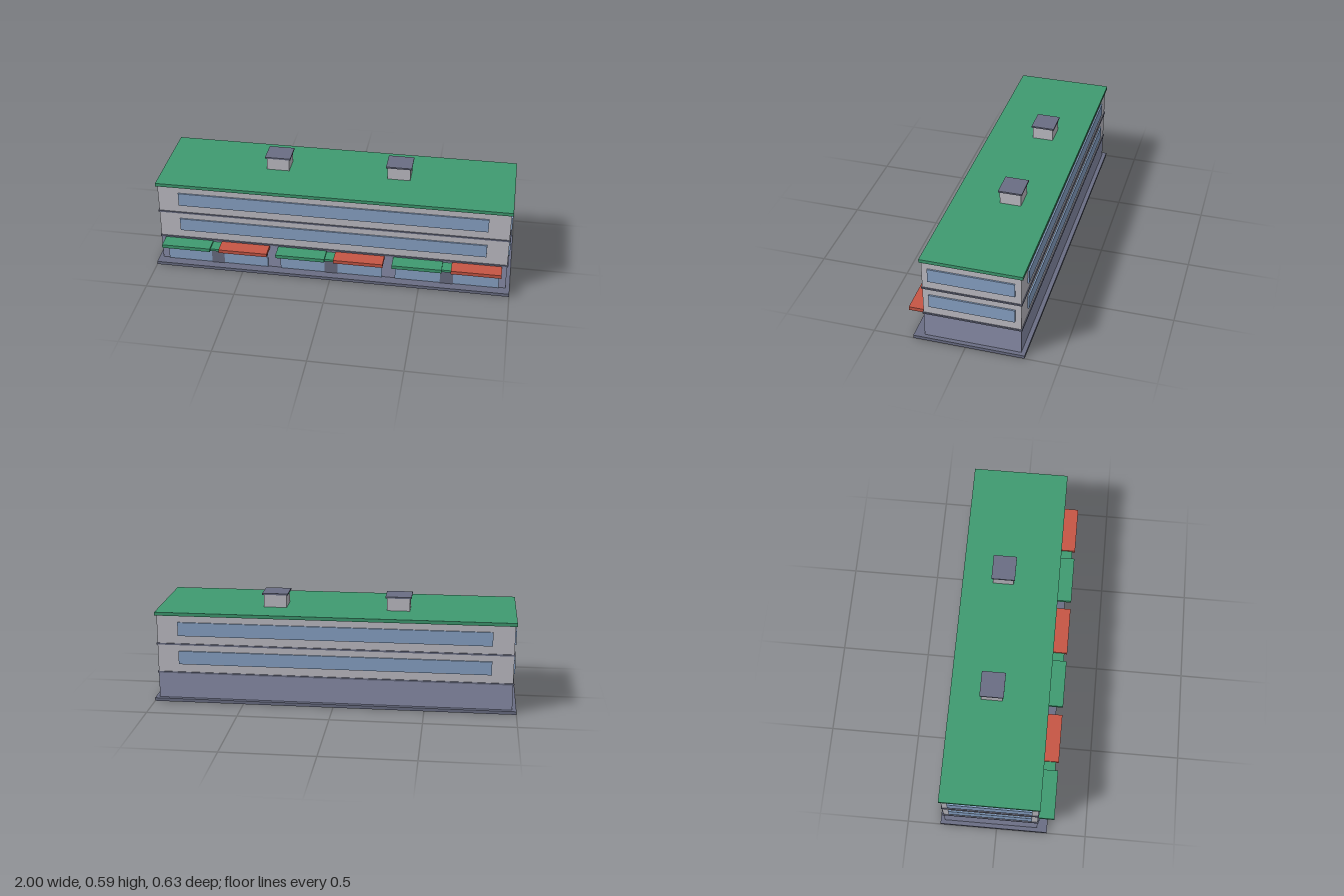
import * as THREE from 'three';

const mat = (name, color) => {
  const m = new THREE.MeshStandardMaterial({ color });
  m.name = name;
  return m;
};

export function createModel() {
  const wall = mat('pale grey wall', 0xc2c1c9);
  const shop = mat('slate ground floor', 0x8c90ac);
  const trim = mat('dark grey trim', 0x6a6e84);
  const glass = mat('blue glass', 0x8ba6ca);
  const green = mat('green', 0x3f9b71);
  const red = mat('red', 0xc75645);

  const model = new THREE.Group();
  model.name = 'building';

  // Box given by its minimum and maximum along each axis
  const box = (name, material, [x0, x1], [y0, y1], [z0, z1]) => {
    const mesh = new THREE.Mesh(new THREE.BoxGeometry(x1 - x0, y1 - y0, z1 - z0), material);
    mesh.position.set((x0 + x1) / 2, (y0 + y1) / 2, (z0 + z1) / 2);
    mesh.name = name;
    model.add(mesh);
  };
  const span = (centre, width) => [centre - width / 2, centre + width / 2];

  const front = 0.227, back = -0.293, side = 0.977;

  // Main body
  box('base', trim, [-1, 1], [0, 0.018], [-0.316, 0.283]);
  box('groundFloor', shop, [-side, side], [0.018, 0.165], [back, front]);
  box('upperFloors', wall, [-side, side], [0.165, 0.493], [back, front]);
  box('roof', green, [-0.986, 0.986], [0.493, 0.512], [-0.303, 0.236]);
  for (const y of [0.161, 0.325])
    box('floorBand', trim, [-0.982, 0.982], [y, y + 0.009], [back - 0.005, front + 0.005]);

  // Ribbon windows on all four sides of the upper floors
  for (const ys of [[0.216, 0.291], [0.379, 0.456]]) {
    box('frontWindow', glass, [-0.86, 0.86], ys, [front, front + 0.008]);
    box('backWindow', glass, [-0.86, 0.86], ys, [back - 0.008, back]);
    box('leftWindow', glass, [side, side + 0.008], ys, [-0.261, 0.195]);
    box('rightWindow', glass, [-side - 0.008, -side], ys, [-0.261, 0.195]);
  }

  // Shop windows under alternating awnings
  for (let i = 0; i < 6; i++) {
    const x = (i - 2.5) * 0.325;
    box('shopWindow', glass, span(x, 0.252), [0.021, 0.152], [front, front + 0.009]);
    box('awning', i % 2 ? red : green, span(x, 0.275), [0.141, 0.161], [front, 0.318]);
  }

  // Doors with small canopies
  for (const x of [-0.65, 0, 0.65]) {
    box('door', trim, span(x, 0.073), [0.018, 0.139], [front, front + 0.009]);
    box('doorCanopy', green, span(x, 0.1), [0.139, 0.152], [front, 0.302]);
  }

  // Capped rooftop vents
  for (const x of [-0.342, 0.342]) {
    box('roofVent', wall, span(x, 0.127), [0.512, 0.583], [-0.132, -0.016]);
    box('roofVentCap', trim, span(x, 0.143), [0.583, 0.592], [-0.139, -0.009]);
  }

  return model;
}
